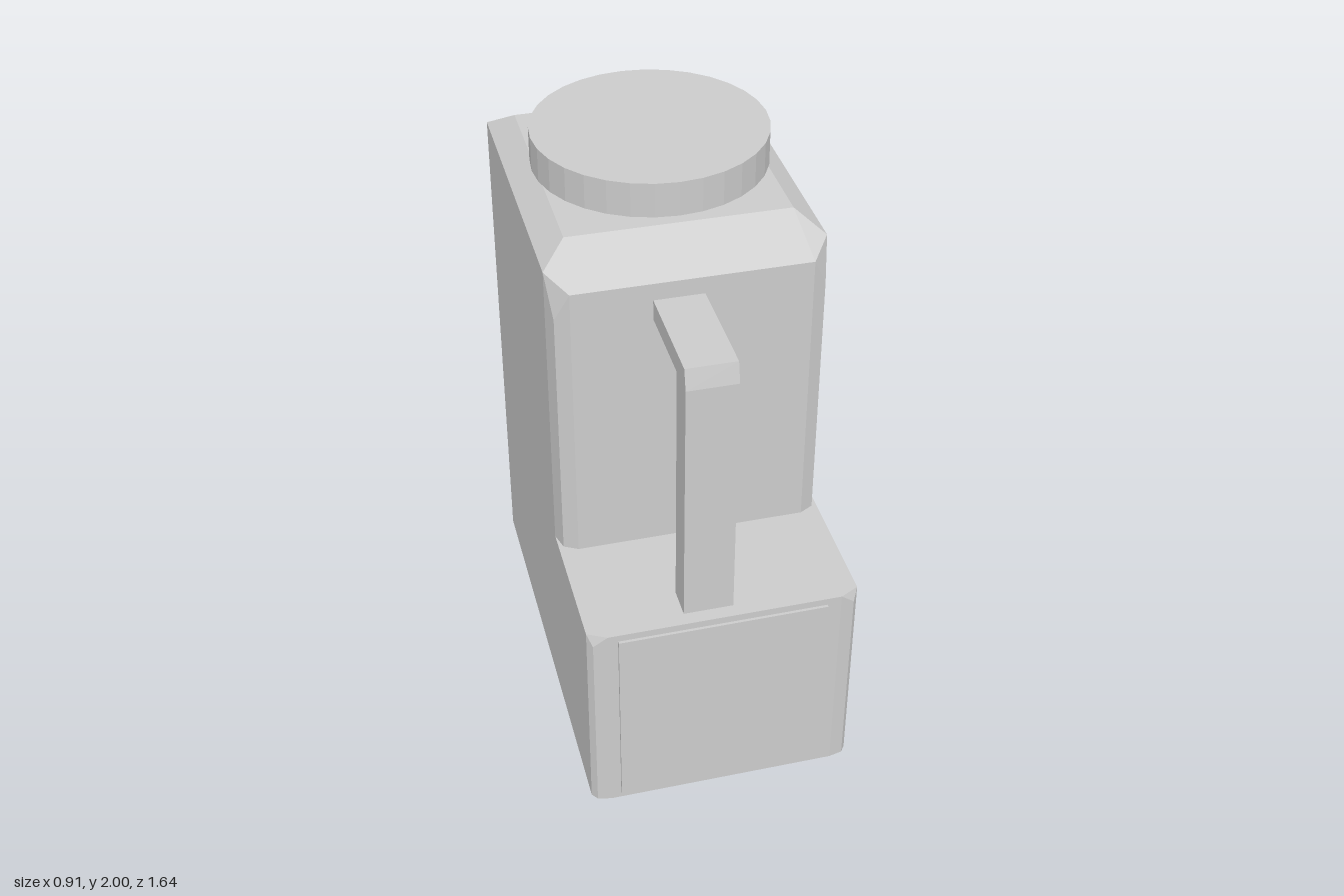
import * as THREE from 'three';
import { ConvexGeometry } from 'three/addons/geometries/ConvexGeometry.js';

const material = new THREE.MeshStandardMaterial({ color: 0xcccccc, flatShading: true });

function addMesh(group, name, geometry, x = 0, y = 0, z = 0) {
  const mesh = new THREE.Mesh(geometry, material);
  mesh.name = name;
  mesh.position.set(x, y, z);
  group.add(mesh);
  return mesh;
}

// Convex solid, mirrored in x, from a list of [x, y, z] corners
function mirroredHull(corners) {
  const points = [];
  for (const side of [-1, 1]) {
    for (const [x, y, z] of corners) points.push(new THREE.Vector3(side * x, y, z));
  }
  return new ConvexGeometry(points);
}

// Rounded vertical corner: side, middle and face points from y = 0 up to the given heights
function roundedCorner(plan, heights) {
  return plan.flatMap(([x, z], i) => [[x, 0, z], [x, heights[i], z]]);
}

export function createModel() {
  const group = new THREE.Group();
  group.name = 'jug';

  // Tall body with rounded uprights and sloping shoulders
  const shoulder = [1.82, 1.68, 1.78];
  addMesh(group, 'body', mirroredHull([
    ...roundedCorner([[0.457, 0.28], [0.44, 0.34], [0.393, 0.365]], shoulder),
    ...roundedCorner([[0.457, -0.73], [0.44, -0.793], [0.393, -0.818]], shoulder),
    [0.372, 1.88, 0.19], [0.372, 1.88, -0.645],
  ]));

  // Low block projecting at the front
  addMesh(group, 'frontBlock', mirroredHull([
    ...roundedCorner([[0.457, 0.775], [0.44, 0.798], [0.393, 0.808]], [0.76, 0.72, 0.76]),
    [0.457, 0, 0.28], [0.457, 0.76, 0.28],
  ]));

  // Thin label panel on the block
  addMesh(group, 'panel', new THREE.BoxGeometry(0.705, 0.71, 0.03), -0.007, 0.38, 0.803);

  // Round lid
  addMesh(group, 'lid', new THREE.CylinderGeometry(0.398, 0.398, 0.12, 32), 0.01, 1.94, -0.247);

  // Handle: upright and top bar, drawn in the z-y plane
  const profile = new THREE.Shape([
    [0.655, 0.74], [0.76, 0.74], [0.76, 1.65], [0.743, 1.72],
    [0.34, 1.72], [0.34, 1.65], [0.655, 1.65],
  ].map(([z, y]) => new THREE.Vector2(z, y)));
  const handle = addMesh(group, 'handle',
    new THREE.ExtrudeGeometry(profile, { depth: 0.167, bevelEnabled: false }), 0.037);
  handle.rotation.y = -Math.PI / 2;

  return group;
}
